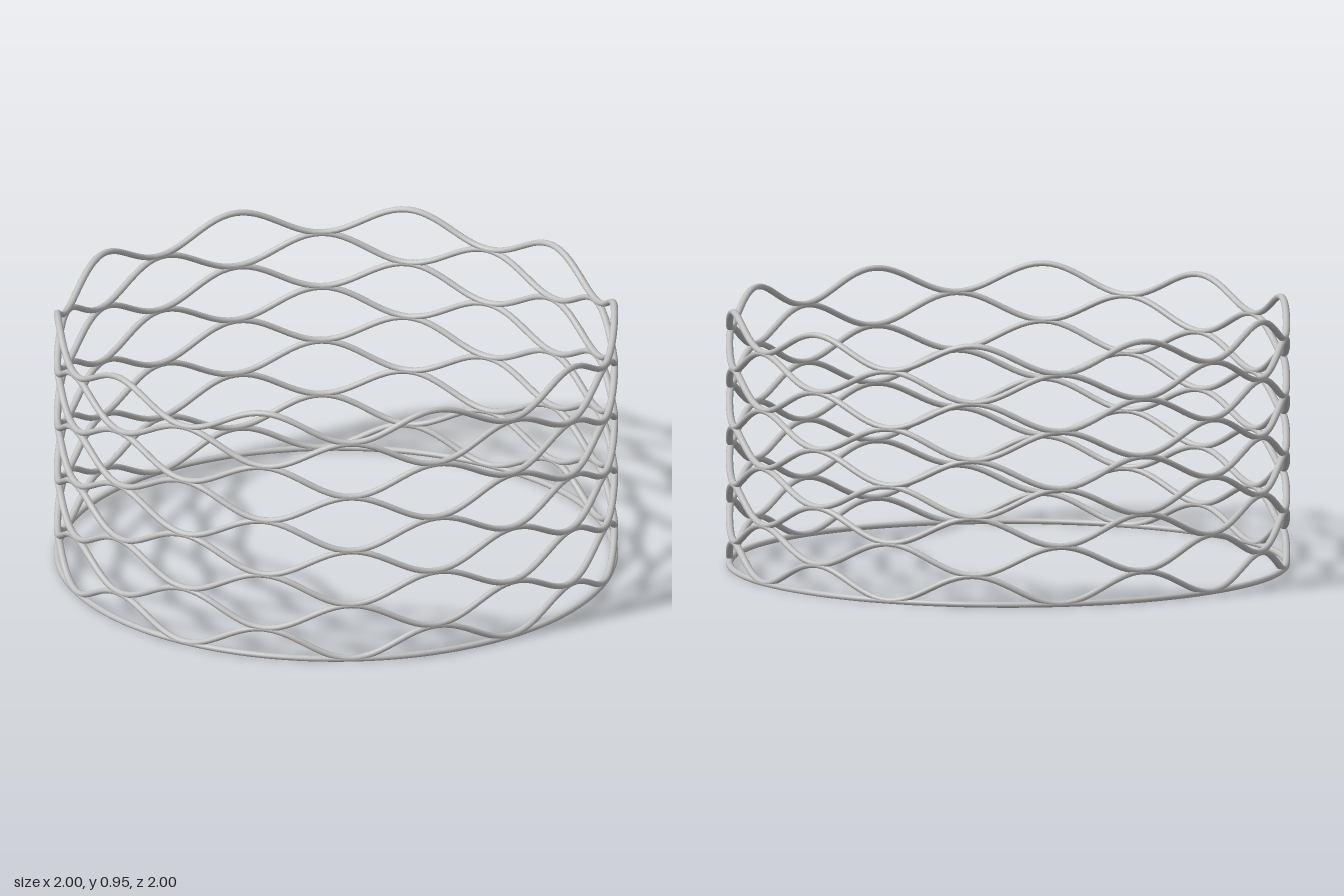
import * as THREE from 'three';

const WIRE = 0.0105;            // wire radius, measured up and down
const WIDEN = 1.25;             // wire is slightly wider across than it is tall
const RADIUS = 1 - WIRE * WIDEN; // centre line radius of every ring
const WAVES = 10;               // crests per ring
const RINGS = 9;
const PITCH = 0.103;            // height between rings

// Closed ring around the y axis that waves up and down
class WaveRing extends THREE.Curve {
  constructor(height, amplitude) {
    super();
    this.height = height;
    this.amplitude = amplitude;
  }
  getPoint(t, target = new THREE.Vector3()) {
    const a = t * Math.PI * 2;
    return target.set(
      RADIUS * Math.sin(a),
      this.height + this.amplitude * Math.sin(WAVES * a),
      RADIUS * Math.cos(a)
    );
  }
}

// Tube along a ring, widened across the wall into an oval section
function wireGeometry(curve) {
  const geometry = new THREE.TubeGeometry(curve, 240, WIRE, 12, true);
  const p = geometry.attributes.position;
  for (let i = 0; i < p.count; i++) {
    const r = Math.hypot(p.getX(i), p.getZ(i));
    const k = (RADIUS + (r - RADIUS) * WIDEN) / r;
    p.setXYZ(i, p.getX(i) * k, p.getY(i), p.getZ(i) * k);
  }
  return geometry;
}

export function createModel() {
  const group = new THREE.Group();
  group.name = 'wireBasket';
  const metal = new THREE.MeshStandardMaterial({ color: 0xc0c0c0 });
  metal.name = 'silver grey';

  const addRing = (name, height, amplitude) => {
    const mesh = new THREE.Mesh(wireGeometry(new WaveRing(height, amplitude)), metal);
    mesh.name = name;
    group.add(mesh);
  };

  // Flat hoop at the foot
  addRing('baseHoop', WIRE, 0);

  // Wavy rings in alternating phase, so each trough rests on the crest below
  for (let i = 0; i < RINGS; i++) {
    const sign = i % 2 === 0 ? 1 : -1;
    addRing('waveRing' + (i + 1), WIRE + PITCH * (i + 0.5), sign * 0.05);
  }
  return group;
}
